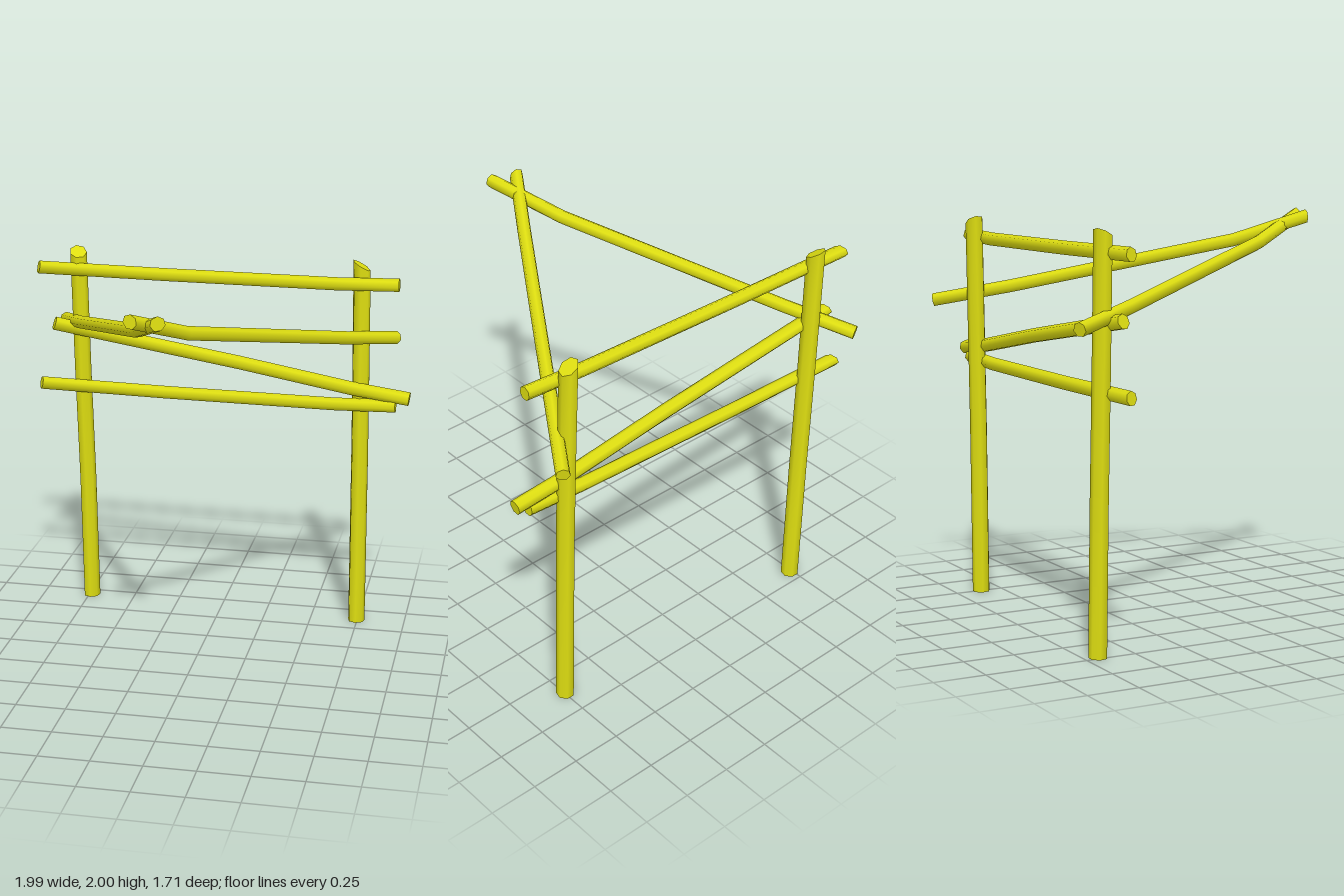
import * as THREE from 'three';
import { toCreasedNormals } from 'three/addons/utils/BufferGeometryUtils.js';

const SIDES = 7;

// A rough log following a list of centre points; the cuts tilt the sawn ends.
function logGeometry(points, radius, startCut = [0, 0, 0], endCut = [0, 0, 0]) {
  const pts = points.map((p) => new THREE.Vector3(...p));
  const last = pts.length - 1;
  const cuts = { 0: new THREE.Vector3(...startCut), [last]: new THREE.Vector3(...endCut) };
  const rings = pts.map((p, i) => {
    const t = pts[Math.min(i + 1, last)].clone().sub(pts[Math.max(i - 1, 0)]).normalize();
    const ref = Math.abs(t.y) > 0.9 ? new THREE.Vector3(0, 0, 1) : new THREE.Vector3(0, 1, 0);
    const u = t.clone().cross(ref).normalize();
    return { p, t, u, v: u.clone().cross(t), cut: cuts[i] };
  });

  const geo = new THREE.CylinderGeometry(radius, radius, last, SIDES, last);
  const pos = geo.attributes.position;
  for (let k = 0; k < pos.count; k++) {
    const ring = rings[Math.round(pos.getY(k) + last / 2)];
    const radial = ring.u.clone().multiplyScalar(pos.getX(k)).addScaledVector(ring.v, pos.getZ(k));
    const slide = ring.cut ? radial.dot(ring.cut) : 0;
    const q = radial.add(ring.p).addScaledVector(ring.t, slide);
    pos.setXYZ(k, q.x, q.y, q.z);
  }
  return toCreasedNormals(geo, 1.0);
}

export function createModel() {
  const group = new THREE.Group();
  const wood = new THREE.MeshStandardMaterial({ color: 0xdddd11 });
  wood.name = 'yellow wood';

  const add = (name, ...args) => {
    const mesh = new THREE.Mesh(logGeometry(...args), wood);
    mesh.name = name;
    group.add(mesh);
  };

  // Upright posts with slanted tops
  add('rightPost', [[-0.735, 0.01, -0.685], [-0.745, 0.7, -0.68], [-0.76, 1.3, -0.675], [-0.772, 1.945, -0.67]],
    0.045, [0, 0, 0], [-0.2, 0, -0.5]);
  add('leftPost', [[0.745, 0.01, -0.615], [0.737, 0.9, -0.622], [0.73, 1.4, -0.63], [0.72, 1.945, -0.64]],
    0.045, [0, 0, 0], [-0.6, 0, 0]);

  // Cross rails on the front of the posts
  add('topRail', [[-0.98, 1.86, -0.64], [-0.3, 1.855, -0.62], [0.6, 1.855, -0.592], [0.92, 1.865, -0.582]],
    0.034, [0, 0.2, 0.5]);
  add('bottomRail', [[-0.98, 1.23, -0.64], [-0.3, 1.222, -0.62], [0.6, 1.22, -0.592], [0.92, 1.23, -0.582]],
    0.034, [0, 0.2, 0.5]);
  add('slantedRail', [[-0.9, 1.562, -0.637], [0.1, 1.41, -0.607], [0.7, 1.308, -0.59], [0.99, 1.272, -0.58]],
    0.036, [0, 0.2, 0.4]);

  // Forward poles that rise and cross at the front
  add('rightPole', [[-0.893, 1.535, -0.85], [-0.72, 1.585, -0.52], [-0.185, 1.85, 0.5], [-0.01, 1.975, 0.835]].map(
    ([x, y, z], i) => [x, i === 1 ? 1.605 : y, z]), 0.034, [0, 0, 0], [0.4, 0.3, 0]);
  add('leftPole', [[0.89, 1.535, -0.8], [0.67, 1.61, -0.46], [0.05, 1.85, 0.5], [-0.145, 1.97, 0.805]],
    0.034, [0, 0, 0], [-0.4, 0.3, 0]);

  return group;
}
